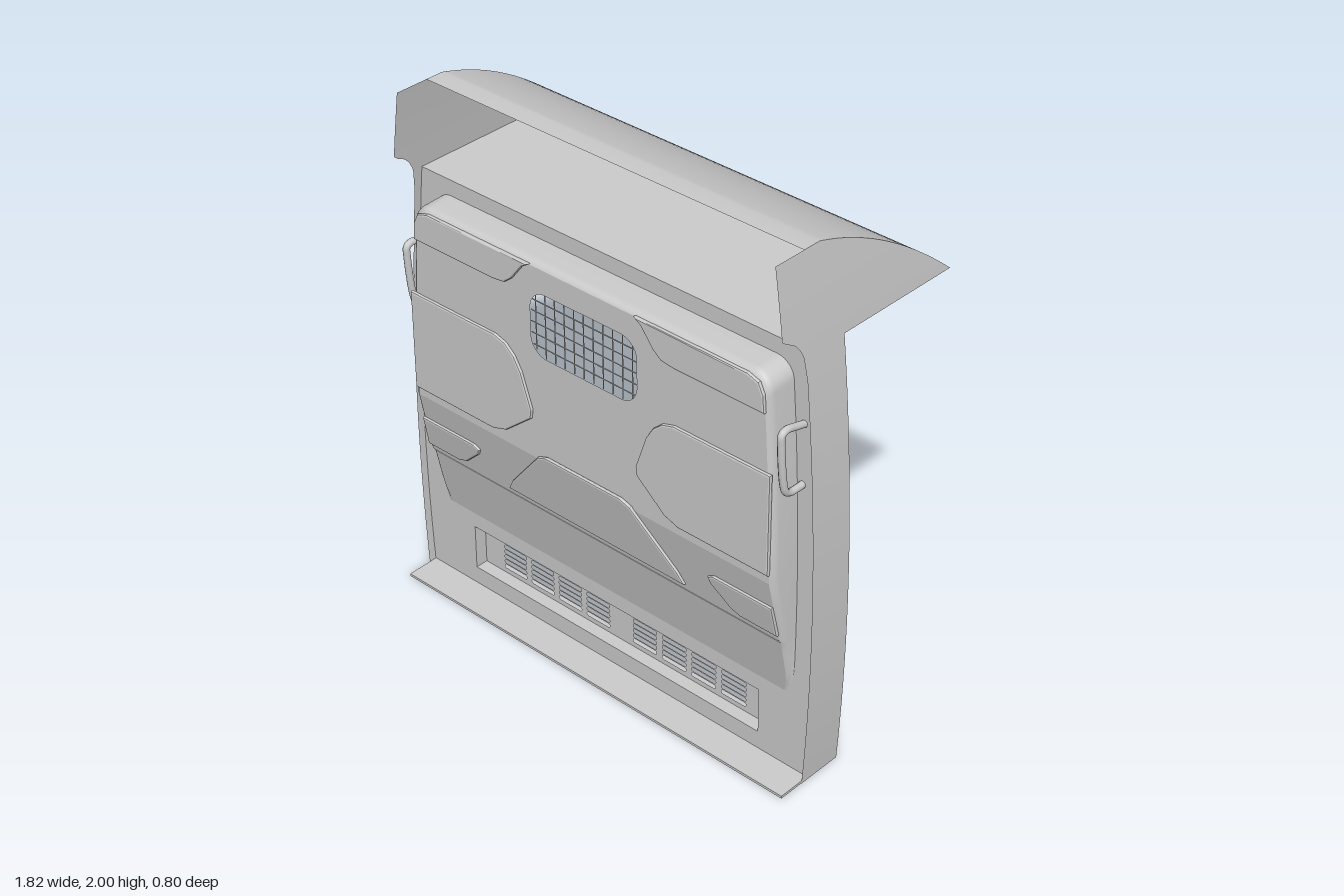
import * as THREE from 'three';

const mat = new THREE.MeshStandardMaterial({ color: 0xcccccc, side: THREE.DoubleSide });
const WALL = 0.27, FACE = 0.385, SHELF = 1.66;

// half width of the whole partition at height y
const halfWidth = y => 0.908 - 0.0535 * (y - 0.6) ** 2;

// surface through rows of points of equal length
function grid(rows) {
  const n = rows[0].length, index = [];
  for (let i = 0; i < rows.length - 1; i++)
    for (let j = 0; j < n - 1; j++) {
      const a = i * n + j, b = a + n;
      index.push(a, a + 1, b, b, a + 1, b + 1);
    }
  const g = new THREE.BufferGeometry();
  g.setAttribute('position', new THREE.Float32BufferAttribute(rows.flat(2), 3));
  g.setIndex(index);
  g.computeVertexNormals();
  return g;
}

const toShape = pts => new THREE.Shape(pts.map(p => new THREE.Vector2(p[0], p[1])));
const mirrorX = pts => pts.map(p => [-p[0], p[1]]).reverse();

function roundedRect(cx, cy, w, h, r) {
  const p = new THREE.Path(), a = cx - w / 2, b = cx + w / 2, c = cy - h / 2, d = cy + h / 2;
  p.absarc(b - r, d - r, r, 0, Math.PI / 2);
  p.absarc(a + r, d - r, r, Math.PI / 2, Math.PI);
  p.absarc(a + r, c + r, r, Math.PI, Math.PI * 1.5);
  p.absarc(b - r, c + r, r, Math.PI * 1.5, Math.PI * 2);
  p.closePath();
  return p;
}

// raised panel: depth at height y, and outline for a given inset
const BENDS = [[0.32, WALL], [0.555, 0.32], [0.575, 0.332], [0.83, FACE], [1.7, FACE]];
function panelZ(y) {
  for (let i = 1; i < BENDS.length; i++) {
    const [y0, z0] = BENDS[i - 1], [y1, z1] = BENDS[i];
    if (y <= y1) return z0 + (z1 - z0) * Math.max(0, y - y0) / (y1 - y0);
  }
  return FACE;
}
const PANEL_YS = [0.32, 0.35, 0.38, 0.42, 0.5, 0.555, 0.575, 0.7, 0.83, 0.95, 1.1, 1.25, 1.4];
const panelHalf = y => 0.82 - 0.045 * (y - 0.6) ** 2 - (y < 0.42 ? 1.8 * (0.42 - y) ** 2 : 0);
function panelOutline(inset) {
  const right = PANEL_YS.map(y => [panelHalf(y) - inset, y]);
  const r = 0.07, cy = 1.6 - inset - r, cx = panelHalf(cy) - inset - r;
  for (let i = 0; i <= 8; i++) {
    const a = i / 8 * Math.PI / 2;
    right.push([cx + r * Math.cos(a), cy + r * Math.sin(a)]);
  }
  return [...right, ...mirrorX(right)];
}

export function createModel() {
  const model = new THREE.Group();
  const add = (geometry, name, parent = model) => {
    const m = new THREE.Mesh(geometry, mat);
    m.name = name;
    parent.add(m);
    return m;
  };

  // side cheeks: lower column strip, then the wider cheek under the roof
  const roofY = t => 2 - 0.34 * (0.45 * t + 0.55 * t * t);
  const roofZ = t => 0.2 - 0.6 * t;
  const frontZ = y => y <= 1.6 ? 0.3 : y >= 1.74 ? 0.4
    : 0.4 - 0.1 * Math.sqrt(1 - ((y - 1.6) / 0.14) ** 2);
  for (const s of [1, -1]) {
    const side = s > 0 ? 'left' : 'right';
    const row = (y, zb) => [[s * halfWidth(y), y, frontZ(y)], [s * halfWidth(y), y, zb]];
    const column = [], cheek = [];
    for (let i = 0; i <= 20; i++) column.push(row(SHELF * i / 20, 0.12));
    for (let i = 0; i <= 32; i++) cheek.push(row(roofY(1 - i / 32), roofZ(1 - i / 32)));
    add(grid(column), side + 'Column');
    add(grid(cheek), side + 'RoofCheek');
  }

  // curved roof and flat shelf beneath it
  const across = (y, z) => [[-halfWidth(y), y, z], [halfWidth(y), y, z]];
  const roof = [across(2, WALL)];
  for (let i = 0; i <= 24; i++) roof.push(across(roofY(i / 24), roofZ(i / 24)));
  add(grid(roof), 'roof');
  add(grid([across(SHELF, WALL), across(SHELF, -0.4)]), 'shelf');

  // sill
  const sill = add(new THREE.BoxGeometry(1.775, 0.01, 0.28), 'sill');
  sill.position.set(0, 0.005, 0.26);

  // back wall with openings for the panel and the vent recess
  const edge = [];
  for (let i = 0; i <= 20; i++) edge.push([halfWidth(SHELF * i / 20), SHELF * i / 20]);
  const wall = toShape([...edge, ...mirrorX(edge)]);
  wall.holes.push(toShape(panelOutline(0)));
  wall.holes.push(toShape([[-0.67, 0.08], [0.67, 0.08], [0.67, 0.26], [-0.67, 0.26]]));
  add(new THREE.ShapeGeometry(wall), 'wall').position.z = WALL;

  // raised panel: rounded rim, sloping lower bands, flat upper face with window
  const panel = new THREE.Group();
  panel.name = 'raisedPanel';
  model.add(panel);
  const rim = [[0, 1], [0.002, 0.03], [0.006, 0.014], [0.012, 0.005], [0.02, 0]].map(([inset, drop]) =>
    panelOutline(inset).map(([x, y]) => [x, y, Math.max(WALL, panelZ(y) - drop)]));
  add(grid(rim), 'panelRim', panel);
  for (const [a, b] of [[0, 5], [5, 6], [6, 8]]) {
    const rows = PANEL_YS.slice(a, b + 1).map(y => {
      const x = panelHalf(y) - 0.02;
      return [[-x, y, panelZ(y)], [x, y, panelZ(y)]];
    });
    add(grid(rows), 'panelSlope', panel);
  }
  const WIN = { y: 1.367, w: 0.47, h: 0.245, r: 0.07 };
  const upper = toShape(panelOutline(0.02).filter(p => p[1] >= 0.829));
  upper.holes.push(roundedRect(0, WIN.y, WIN.w, WIN.h, WIN.r));
  add(new THREE.ShapeGeometry(upper, 8), 'panelFace', panel).position.z = FACE;

  // embossed pads; sloping ones are sheared to lie on the slope
  const slope = (FACE - 0.332) / (0.83 - 0.575);
  function pad(pts, name, sloped) {
    const g = new THREE.ExtrudeGeometry(toShape(pts), {
      depth: 0.003, bevelEnabled: true, bevelThickness: 0.007, bevelSize: 0.007, bevelOffset: -0.007, bevelSegments: 2 });
    const p = g.attributes.position;
    for (let i = 0; i < p.count; i++)
      p.setZ(i, p.getZ(i) + (sloped ? 0.332 + slope * (p.getY(i) - 0.575) : FACE) + 0.002);
    g.computeVertexNormals();
    add(g, name, panel);
  }
  const sidePad = [[0.8, 0.865], [0.8, 1.25], [0.4, 1.25], [0.35, 1.235], [0.31, 1.2], [0.28, 1.15],
    [0.235, 1.02], [0.24, 0.985], [0.36, 0.885], [0.42, 0.865]];
  const topPad = [[0.77, 1.465], [0.765, 1.53], [0.745, 1.57], [0.7, 1.585], [0.23, 1.585],
    [0.26, 1.565], [0.31, 1.5], [0.345, 1.472], [0.4, 1.465]];
  const lowPad = [[0.805, 0.6], [0.8, 0.725], [0.55, 0.725], [0.525, 0.71], [0.535, 0.685], [0.61, 0.615], [0.65, 0.6]];
  for (const flip of [p => p, mirrorX]) {
    pad(flip(sidePad), 'sidePad', false);
    pad(flip(topPad), 'topPad', false);
    pad(flip(lowPad), 'lowPad', true);
  }
  pad([[-0.405, 0.6], [0.405, 0.6], [0.38, 0.645], [0.21, 0.845], [0.17, 0.862],
    [-0.17, 0.862], [-0.21, 0.845], [-0.38, 0.645]], 'centrePad', true);

  // wire grille, bars cut to the rounded window
  const grille = new THREE.Group();
  grille.name = 'windowGrille';
  grille.position.set(0, WIN.y, FACE - 0.004);
  model.add(grille);
  const barLength = (off, across2, along) => {
    const d = Math.max(0, Math.abs(off) - (across2 / 2 - WIN.r));
    return along - 2 * (WIN.r - Math.sqrt(WIN.r ** 2 - d * d));
  };
  const bar = (len, x, y, turn) => {
    const m = add(new THREE.CylinderGeometry(0.002, 0.002, len, 6), 'grilleBar', grille);
    m.position.set(x, y, 0);
    m.rotation.z = turn;
  };
  for (let i = -5; i <= 5; i++) bar(barLength(i * 0.0427, WIN.w, WIN.h), i * 0.0427, 0, 0);
  for (let i = -2; i <= 2; i++) bar(barLength(i * 0.0427, WIN.h, WIN.w), 0, i * 0.0427, Math.PI / 2);

  // vent recess: slotted plate, sloping top, floor and ends
  const vent = new THREE.Group();
  vent.name = 'ventRecess';
  model.add(vent);
  const VZ = 0.22, W = 0.67;
  const plate = toShape([[-W, 0.08], [W, 0.08], [W, 0.21], [-W, 0.21]]);
  for (const s of [-1, 1])
    for (let c = 0; c < 4; c++)
      for (let r = 0; r < 5; r++)
        plate.holes.push(roundedRect(s * (0.111 + c * 0.136), 0.108 + r * 0.0215, 0.11, 0.016, 0.0075));
  add(new THREE.ShapeGeometry(plate, 4), 'ventPlate', vent).position.z = VZ;
  const strip = (y0, z0, y1, z1) => grid([[[-W, y0, z0], [W, y0, z0]], [[-W, y1, z1], [W, y1, z1]]]);
  add(strip(0.26, WALL, 0.21, VZ), 'ventTop', vent);
  add(strip(0.08, WALL, 0.08, VZ), 'ventFloor', vent);
  for (const x of [-W, W])
    add(grid([[[x, 0.08, WALL], [x, 0.26, WALL]], [[x, 0.08, VZ], [x, 0.21, VZ]]]), 'ventEnd', vent);

  // grab handles
  for (const s of [1, -1]) {
    const path = new THREE.CatmullRomCurve3([[1.395, WALL], [1.405, 0.31], [1.415, 0.355], [1.405, 0.377],
      [1.37, 0.378], [1.22, 0.363], [1.185, 0.352], [1.17, 0.33], [1.168, 0.3], [1.168, WALL]]
      .map(([y, z]) => new THREE.Vector3(s * 0.826, y, z)));
    add(new THREE.TubeGeometry(path, 48, 0.013, 10), s > 0 ? 'leftHandle' : 'rightHandle');
  }
  return model;
}
